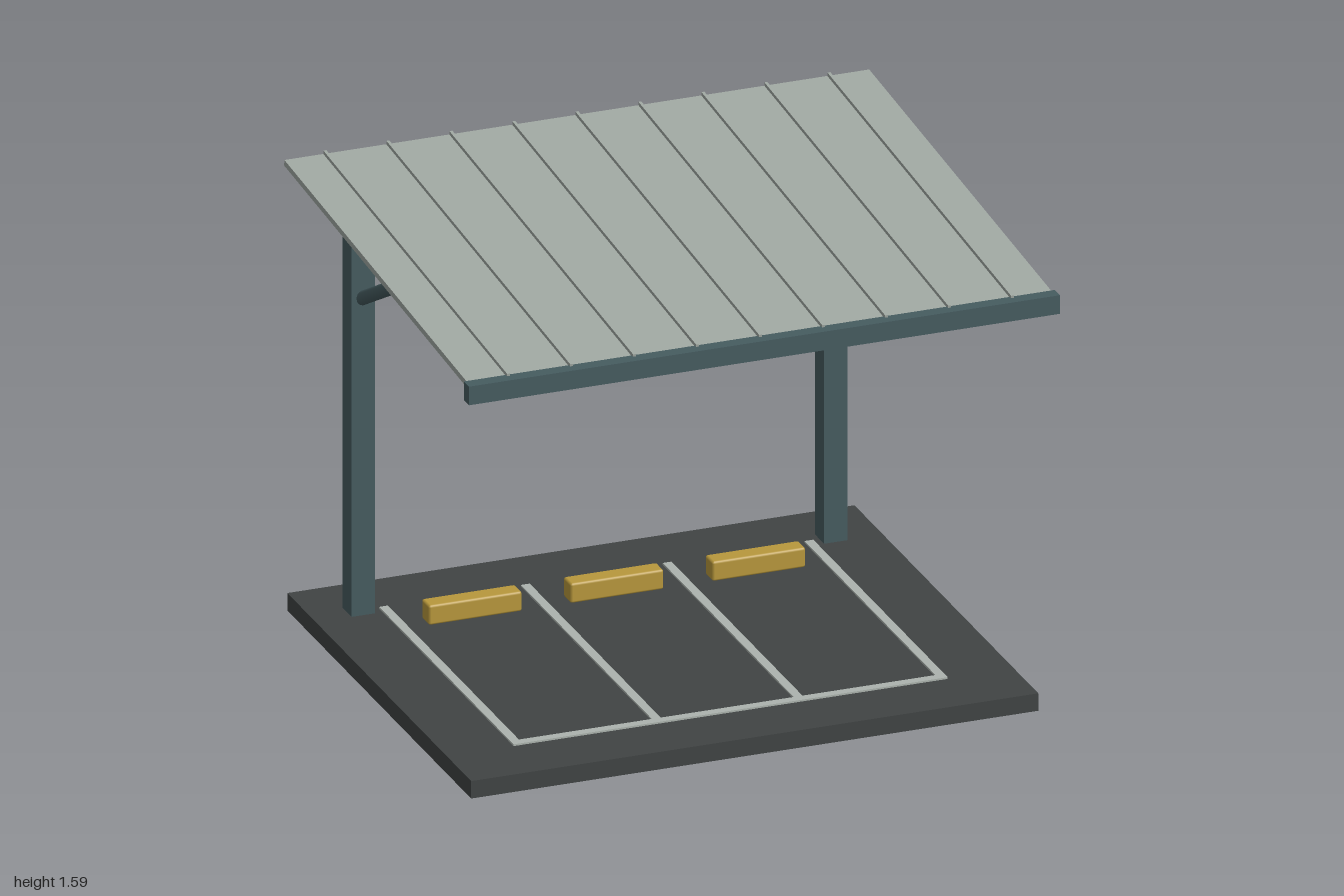
import * as THREE from 'three';
import { RoundedBoxGeometry } from 'three/addons/geometries/RoundedBoxGeometry.js';

const material = (name, color) => {
  const m = new THREE.MeshStandardMaterial({ color });
  m.name = name;
  return m;
};

export function createModel() {
  const model = new THREE.Group();
  model.name = 'carport';

  const steel = material('blue grey steel', 0x465c60);
  const sheet = material('pale grey sheet', 0xa0a8a2);
  const asphalt = material('dark asphalt', 0x404444);
  const paint = material('line paint', 0xacb3ae);
  const yellow = material('ochre yellow', 0xb8983c);

  const add = (name, geometry, mat, x, y, z, parent = model) => {
    const mesh = new THREE.Mesh(geometry, mat);
    mesh.name = name;
    mesh.position.set(x, y, z);
    parent.add(mesh);
    return mesh;
  };
  const box = (name, mat, w, h, d, x, y, z, parent) =>
    add(name, new THREE.BoxGeometry(w, h, d), mat, x, y, z, parent);

  // Round tube between two points
  const tube = (name, a, b, radius) => {
    const from = new THREE.Vector3(...a), to = new THREE.Vector3(...b);
    const dir = to.clone().sub(from);
    const mid = from.clone().add(to).multiplyScalar(0.5);
    const mesh = add(name, new THREE.CylinderGeometry(radius, radius, dir.length(), 20), steel, mid.x, mid.y, mid.z);
    mesh.quaternion.setFromUnitVectors(new THREE.Vector3(0, 1, 0), dir.normalize());
  };

  // Ground slab
  const slabTop = 0.06;
  box('groundSlab', asphalt, 1.92, slabTop, 1.6, 0, slabTop / 2, -0.04);

  // Painted bay lines
  const lineY = slabTop + 0.003;
  for (const x of [-0.72, -0.24, 0.24, 0.72]) {
    box('bayLine', paint, 0.03, 0.006, 1.14, x, lineY, -0.05);
  }
  box('frontBayLine', paint, 1.47, 0.006, 0.03, 0, lineY, 0.535);

  // Wheel stops
  for (const x of [-0.48, 0, 0.48]) {
    add('wheelStop', new RoundedBoxGeometry(0.316, 0.068, 0.066, 1, 0.008), yellow, x, slabTop + 0.034, -0.468);
  }

  // Post, rafter and brace on each side
  for (const x of [-0.8, 0.8]) {
    box('post', steel, 0.08, 1.425, 0.08, x, slabTop + 0.7125, -0.63);
    tube('rafter', [x, 1.411, 0.758], [x, 1.517, -0.658], 0.031);
    tube('brace', [x, 1.13, -0.63], [x, 1.462, -0.02], 0.023);
  }

  // Purlins under the sheet
  for (const [y, z] of [[1.424, 0.71], [1.461, 0.23], [1.495, -0.255], [1.528, -0.68]]) {
    tube('purlin', [-0.905, y, z], [0.905, y, z], 0.02);
  }

  // Sloping roof sheet with standing seams
  const roof = new THREE.Group();
  roof.name = 'roof';
  roof.position.set(0, 1.504, 0.01);
  roof.rotation.x = Math.atan(0.076);
  model.add(roof);
  box('roofSheet', sheet, 1.98, 0.02, 1.604, 0, 0, 0, roof);
  for (let i = -4; i <= 4; i++) {
    box('roofSeam', sheet, 0.01, 0.012, 1.604, i * 0.2133, 0.016, 0, roof);
  }

  // Front gutter
  box('gutter', steel, 2, 0.064, 0.045, 0, 1.425, 0.822);

  return model;
}
